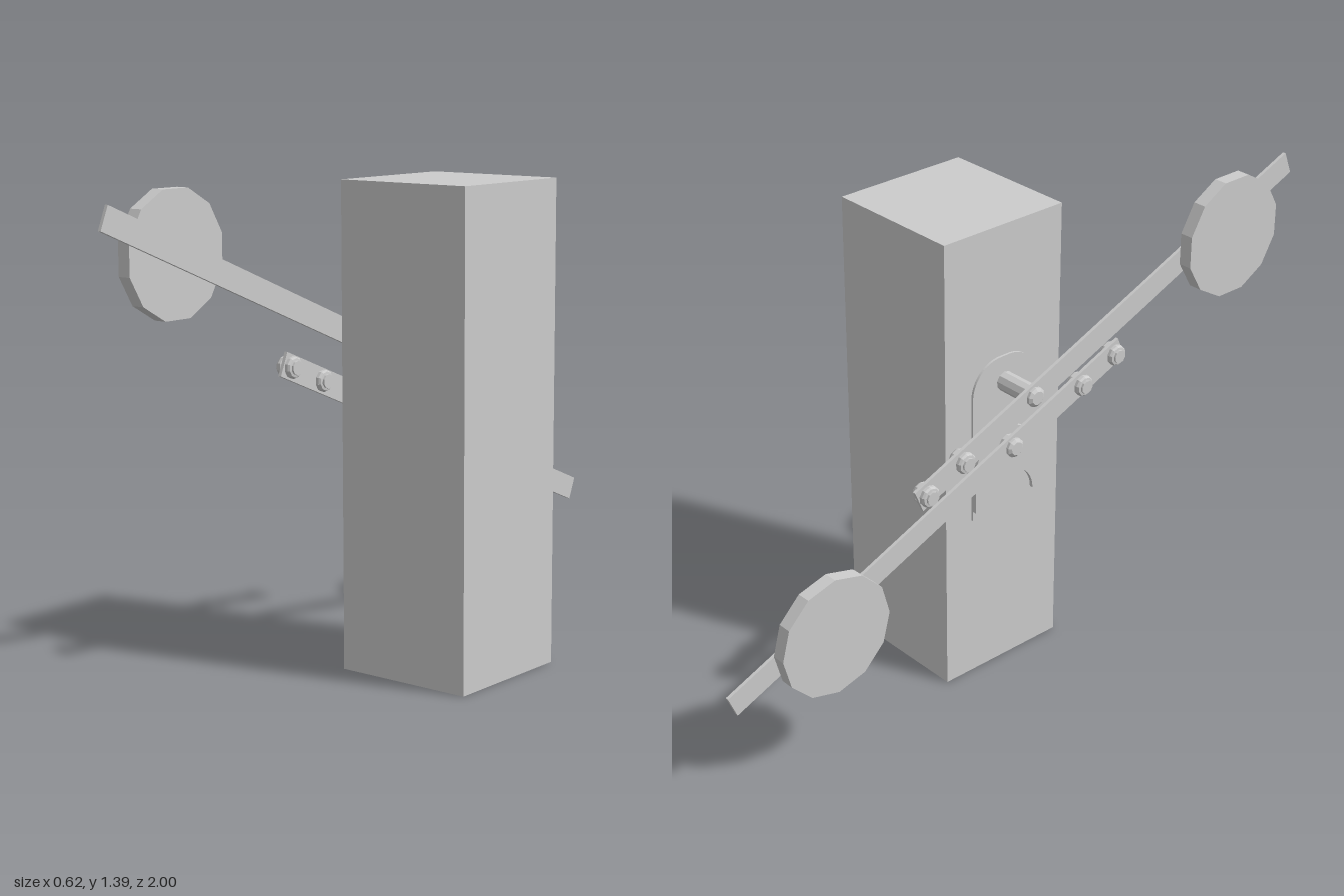
import * as THREE from 'three';

const mat = new THREE.MeshStandardMaterial({ color: 0xcccccc, flatShading: true });
const TILT = Math.atan(0.414);

function add(parent, name, geometry, x = 0, y = 0, z = 0) {
  const mesh = new THREE.Mesh(geometry, mat);
  mesh.name = name;
  mesh.position.set(x, y, z);
  parent.add(mesh);
  return mesh;
}

// Faceted solid turned around the x axis; profile is [radius, x] pairs
function turned(profile, sides) {
  const points = profile.map(([r, x]) => new THREE.Vector2(r, x));
  return new THREE.LatheGeometry(points, sides).rotateZ(-Math.PI / 2);
}

// Chamfered nuts on both sides of an arm
const boltGeometry = turned([
  [0, -0.031], [0.02, -0.031], [0.02, -0.025], [0.027, -0.024], [0.031, -0.018], [0.031, -0.009],
  [0.024, -0.005], [0.024, 0.005], [0.031, 0.009], [0.031, 0.018], [0.027, 0.024],
  [0.02, 0.025], [0.02, 0.031], [0, 0.031],
], 10);

// Flat outline (drawn in z and y) extruded outwards along -x from x
function plate(shape, depth, x) {
  const g = new THREE.ExtrudeGeometry(shape, { depth, bevelEnabled: false, curveSegments: 10 });
  return g.rotateY(-Math.PI / 2).translate(x, 0, 0);
}

// Arm with bolts on its short end and a shaft to the post; dir is the z side of its long end
function buildArm(name, x, y, dir) {
  const arm = new THREE.Group();
  arm.name = name;
  arm.position.set(x, y, 0);
  arm.rotation.x = -TILT;
  add(arm, 'armBar', new THREE.BoxGeometry(0.01, 0.07, 1.515), 0, 0, dir * 0.312);
  for (const z of [0.277, 0.415]) add(arm, 'armBolt', boltGeometry, 0, 0, -dir * z);
  const reach = -0.115 - x;
  add(arm, 'pivotShaft', turned([
    [0, -0.02], [0.02, -0.02], [0.029, -0.013], [0.029, reach], [0, reach],
  ], 10));
  return arm;
}

function buildDisc(name, x, y, z, phase) {
  const g = new THREE.CylinderGeometry(0.179, 0.179, 0.04, 12, 1, false, phase).rotateZ(Math.PI / 2);
  return [name, g, x, y, z];
}

export function createModel() {
  const model = new THREE.Group();
  model.name = 'postWithSignalArms';

  // Square post
  add(model, 'post', new THREE.BoxGeometry(0.425, 1.39, 0.42), 0.0975, 0.695, 0);

  // Backing plate with a rounded top
  const w = 0.116, r = 0.1;
  const back = new THREE.Shape();
  back.moveTo(-w, 0.515);
  back.lineTo(w, 0.515);
  back.lineTo(w, 1 - r);
  back.absarc(w - r, 1 - r, r, 0, Math.PI / 2, false);
  back.absarc(-w + r, 1 - r, r, Math.PI / 2, Math.PI, false);
  back.closePath();
  add(model, 'backingPlate', plate(back, 0.007, -0.115));

  // Raised arch around the lower pivot
  const arch = new THREE.Shape();
  arch.moveTo(w, 0.545);
  arch.lineTo(w, 0.664);
  arch.absarc(0, 0.664, w, 0, Math.PI, false);
  arch.lineTo(-w, 0.545);
  arch.lineTo(-0.1, 0.545);
  arch.absellipse(0, 0.545, 0.1, 0.095, Math.PI, 0, true);
  arch.closePath();
  add(model, 'pivotArch', plate(arch, 0.012, -0.121));

  // Two opposed arms and their round end discs
  model.add(buildArm('upperArm', -0.237, 0.922, 1));
  model.add(buildArm('lowerArm', -0.156, 0.729, -1));
  add(model, ...buildDisc('upperDisc', -0.293, 1.213, 0.692, Math.PI / 12));
  add(model, ...buildDisc('lowerDisc', -0.215, 0.447, -0.694, 0));
  return model;
}
